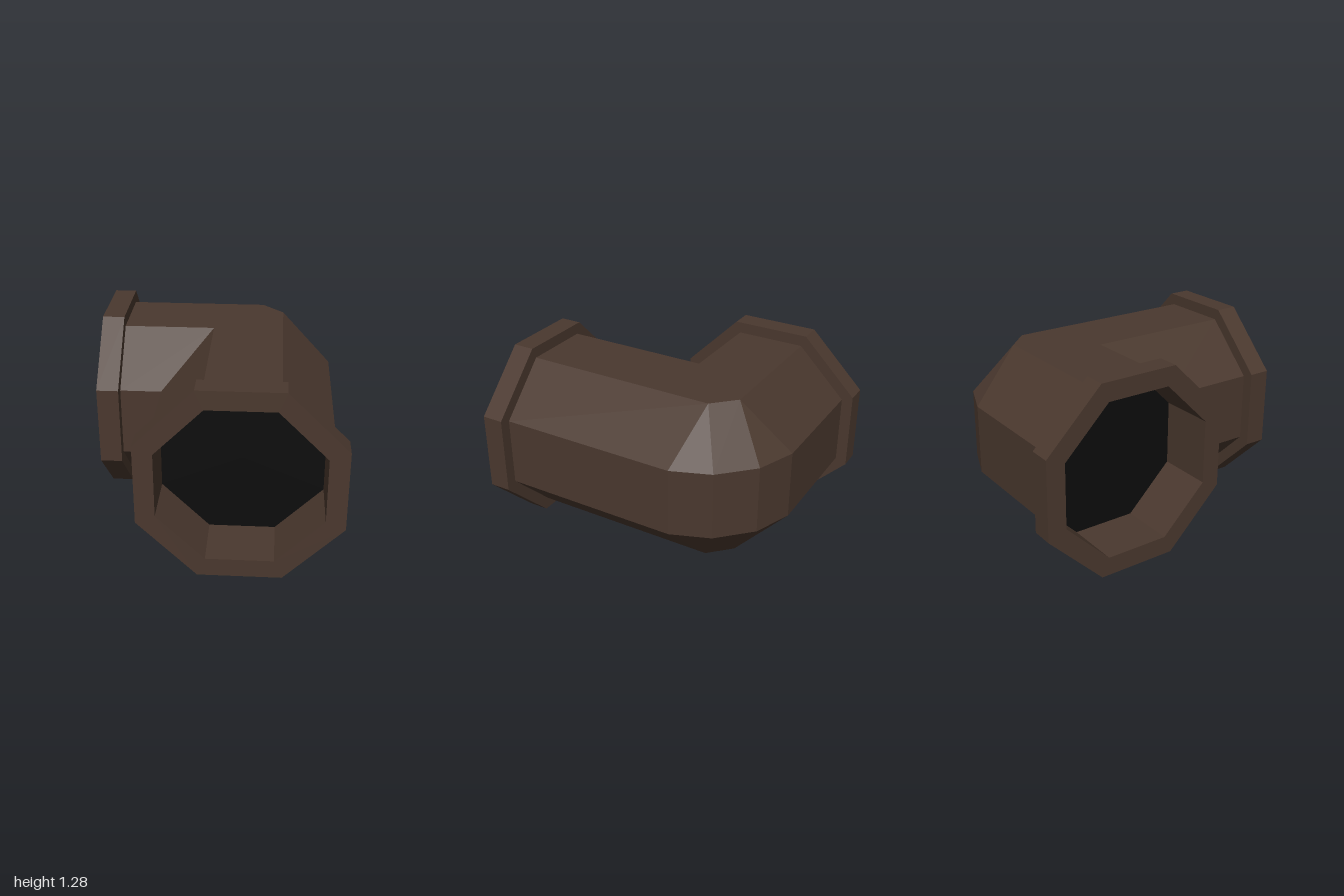
import * as THREE from 'three';

const CX = 0.17, CY = 0.64, CZ = -0.363;      // where the two pipe axes meet
const PIPE = 0.5625, RIM = 0.638, BORE = 0.515; // centre-to-flat sizes of the octagons
const FLAT = Math.tan(Math.PI / 8);
const corner = (r) => r / Math.cos(Math.PI / 8);

const brown = new THREE.MeshStandardMaterial({ color: 0x4a382e, flatShading: true });
brown.name = 'dark brown';
const black = new THREE.MeshStandardMaterial({ color: 0x0d0d0d, flatShading: true });
black.name = 'black';

// Octagonal elbow: every corner of the section follows its own path round the bend
function elbowGeometry() {
  const f = PIPE * FLAT;
  const ring = [[PIPE, -f], [PIPE, f], [f, PIPE], [-f, PIPE], [-PIPE, f], [-PIPE, -f], [-f, -PIPE], [f, -PIPE]];
  // plan offsets of the bend, as [toward +x, toward -z]
  const bend = (o) => {
    if (o === PIPE) return [[0, PIPE], [0.257, 0.464], [0.464, 0.257], [PIPE, 0]];
    if (o === f) return [[0.09, f], [0.09, f], [f, 0.09], [f, 0.09]];
    return [[o, o], [o, o], [o, o], [o, o]];
  };
  const paths = ring.map(([o, h]) => [
    new THREE.Vector3(-0.665, CY + h, CZ - o),
    ...bend(o).map(([u, v]) => new THREE.Vector3(CX + u, CY + h, CZ - v)),
    new THREE.Vector3(CX + o, CY + h, 0.855),
  ]);
  const pts = [];
  const tri = (a, b, c) => {
    if (new THREE.Triangle(a, b, c).getArea() > 1e-6) pts.push(a, b, c);
  };
  for (let k = 0; k < 8; k++) {
    const p = paths[k], q = paths[(k + 1) % 8];
    for (let s = 0; s < 5; s++) {
      tri(p[s], q[s], p[s + 1]);
      tri(p[s + 1], q[s], q[s + 1]);
    }
  }
  const g = new THREE.BufferGeometry().setFromPoints(pts);
  g.computeVertexNormals();
  return g;
}

// Flanged pipe mouth with a recessed bore; its front lies at z = 0 and faces +z
function makeMouth(name) {
  const mouth = new THREE.Group();
  mouth.name = name;
  const profile = [[PIPE - 0.01, -0.145], [RIM, -0.145], [RIM, 0], [BORE, 0], [BORE, -0.37]]
    .map(([r, y]) => new THREE.Vector2(corner(r), y));
  const rimGeo = new THREE.LatheGeometry(profile, 8, Math.PI / 8).toNonIndexed();
  rimGeo.computeVertexNormals();
  rimGeo.rotateX(Math.PI / 2);
  const rim = new THREE.Mesh(rimGeo, brown);
  rim.name = 'flangeAndBore';
  const plug = new THREE.Mesh(new THREE.CircleGeometry(corner(BORE), 8, Math.PI / 8), black);
  plug.name = 'darkInterior';
  plug.position.z = -0.37;
  mouth.add(rim, plug);
  return mouth;
}

export function createModel() {
  const model = new THREE.Group();
  model.name = 'pipeElbow';

  const elbow = new THREE.Mesh(elbowGeometry(), brown);
  elbow.name = 'elbowPipe';

  const front = makeMouth('frontMouth');
  front.position.set(CX, CY, 1);

  const side = makeMouth('sideMouth');
  side.rotation.y = -Math.PI / 2;
  side.position.set(-0.81, CY, CZ);

  model.add(elbow, front, side);
  return model;
}
